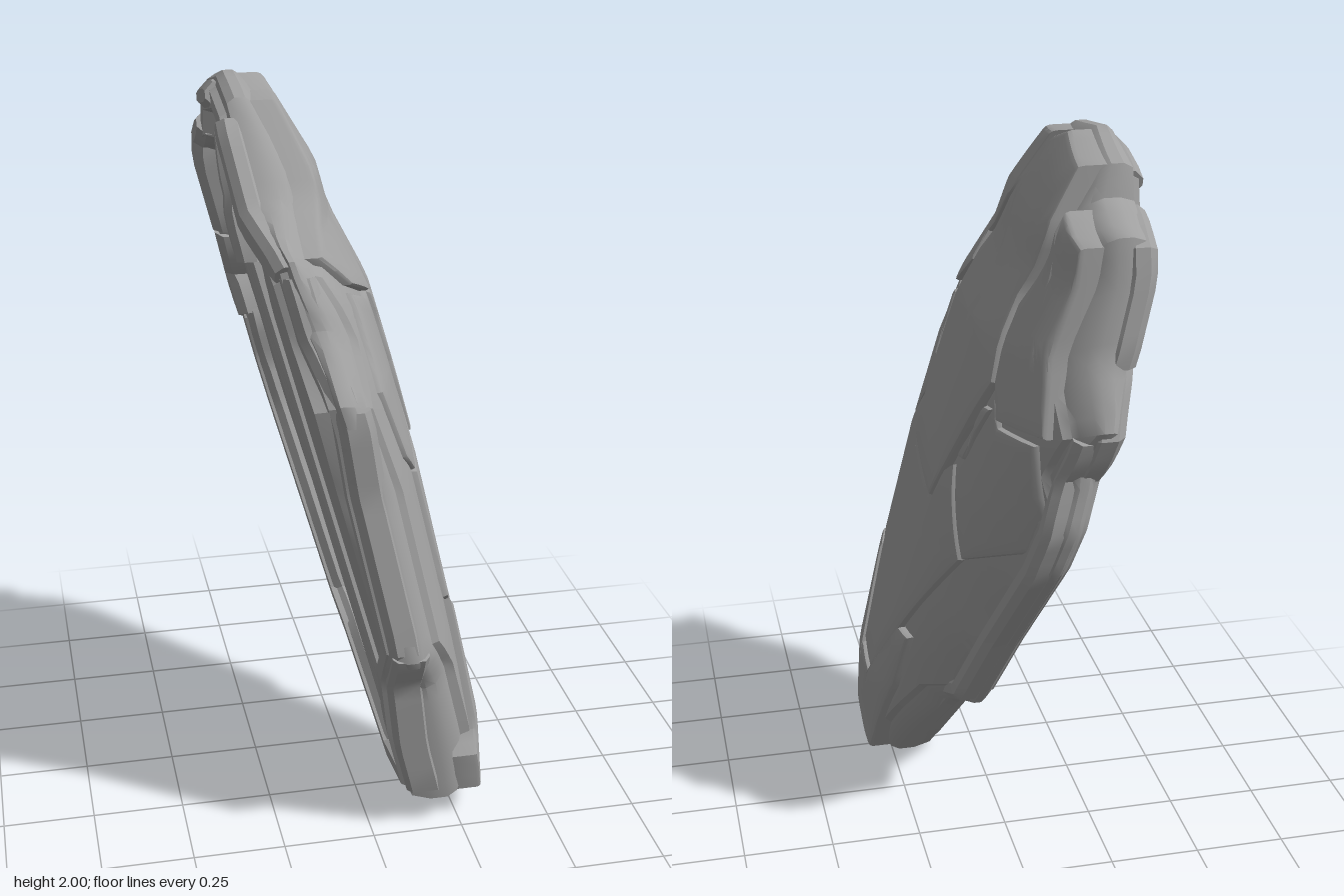
import * as THREE from 'three';
import { toCreasedNormals } from 'three/addons/utils/BufferGeometryUtils.js';

const lerpTable = (t, y) => {
  const i = Math.max(1, t.findIndex(e => e[0] >= y));
  const [a, va] = t[i - 1], [b, vb] = t[i];
  return va + (vb - va) * THREE.MathUtils.clamp((y - a) / (b - a), 0, 1);
};

// Leaning back plane, and thickness of the domed face, which falls away faster on the rear side
const backX = y => Math.max(-0.315, 0.12 - 0.258 * y);
const crown = [[0, 0.19], [0.1, 0.21], [0.3, 0.26], [1.05, 0.3], [1.5, 0.3], [1.8, 0.225], [2.01, 0.1]];
const halfWidth = [[0, 0.32], [0.3, 0.33], [0.6, 0.45], [1.3, 0.57], [1.7, 0.45], [2.01, 0.36]];
const across = (z, y) => z - 0.33 + 0.26 * y;
const faceX = (z, y) => {
  const d = across(z, y), t = Math.min(1, Math.abs(d) / lerpTable(halfWidth, y));
  return backX(y) + lerpTable(crown, y) * (1 - (d > 0 ? 0.48 : 0.68) * t ** 3);
};
// Underside of the rim, raised along the front edge
const rimX = (z, y) => backX(y) + 0.085 * THREE.MathUtils.clamp((across(z, y) - 0.22) / 0.28, 0, 1);

// Rim outline as [z, y] points, and the centre it shrinks towards
const outline = [[-0.15, 2], [-0.34, 1.95], [-0.36, 1.87], [-0.47, 1.8], [-0.51, 1.5], [-0.585, 1.34], [-0.525, 1.21],
  [-0.54, 1.05], [-0.5, 0.92], [-0.31, 0.61], [-0.18, 0.37], [-0.05, 0.31], [0.2, 0.002], [0.47, 0.08], [0.52, 0.47],
  [0.59, 0.59], [0.535, 1.05], [0.545, 1.31], [0.43, 1.47], [0.39, 1.64], [0.22, 1.75], [0.04, 1.97]];
const centre = [0.05, 1];
const toward = (c, p, s) => [c[0] + (p[0] - c[0]) * s, c[1] + (p[1] - c[1]) * s];

// Splits long edges of a path
function subdivide(pts, closed) {
  const out = [], n = pts.length;
  for (let i = 0; i < (closed ? n : n - 1); i++) {
    const a = pts[i], b = pts[(i + 1) % n];
    const k = Math.ceil(Math.hypot(b[0] - a[0], b[1] - a[1]) / 0.05);
    for (let j = 0; j < k; j++) out.push(toward(a, b, j / k));
  }
  return closed ? out : [...out, pts[n - 1]];
}

// Skins a list of closed rings of [x, y, z] points
function skin(rings, capped) {
  const idx = [], m = rings[0].length, e = (rings.length - 1) * m;
  for (let i = 0; i < e; i += m) {
    for (let j = 0; j < m; j++) {
      const a = i + j, b = i + (j + 1) % m;
      idx.push(a, b, b + m, a, b + m, a + m);
    }
  }
  for (let j = 1; capped && j < m - 1; j++) idx.push(0, j + 1, j, e, e + j, e + j + 1);
  const g = new THREE.BufferGeometry();
  g.setAttribute('position', new THREE.Float32BufferAttribute(rings.flat(2), 3));
  g.setIndex(idx);
  return toCreasedNormals(g, 0.5);
}

// Orders an outline counter-clockwise as seen from +x
function orient(pts) {
  const area = pts.reduce((s, p, i) => {
    const q = pts[(i + 1) % pts.length];
    return s + q[0] * p[1] - p[0] * q[1];
  }, 0);
  return area > 0 ? pts : [...pts].reverse();
}

// Armour plate that follows the dome, with a bevelled edge
function plateGeometry(pts, lift, c) {
  const edge = subdivide(orient(pts), true);
  const ring = (s, inset, h) => edge.map(p => {
    const d = Math.hypot(p[0] - c[0], p[1] - c[1]);
    const [z, y] = toward(c, p, s * Math.max(0, 1 - inset / d));
    return [faceX(z, y) + h, y, z];
  });
  const rings = [ring(1, 0.004, -0.05), ring(1, 0.004, lift - 0.012), ring(1, 0.008, lift - 0.003)];
  for (const s of [1, 0.85, 0.7, 0.55, 0.4, 0.2, 0]) rings.push(ring(s, 0.018, lift));
  return skin(rings, false);
}

// Bevelled bar swept along a path, between two heights above the rim underside
function barGeometry(path, w, h0, h1) {
  const pts = subdivide(path, false), b = Math.min(w, h1 - h0) * 0.28, n = pts.length;
  return skin(pts.map((p, i) => {
    const a = pts[Math.max(0, i - 1)], q = pts[Math.min(n - 1, i + 1)];
    const l = Math.hypot(q[0] - a[0], q[1] - a[1]), dz = (q[0] - a[0]) / l, dy = (q[1] - a[1]) / l;
    const v = w / 2 * (i === 0 || i === n - 1 ? 0.8 : 1);
    const side = [[b - v, h0], [-v, h0 + b], [-v, h1 - b], [b - v, h1]];
    const section = [...side, ...side.map(([s, h]) => [-s, h]).reverse()];
    return section.map(([s, h]) => [rimX(...p) + h, p[1] + dz * s, p[0] - dy * s]);
  }), true);
}

// Shell with a recessed back, stepped rim and domed face
function shellGeometry() {
  const edge = subdivide(orient(outline), true);
  const ring = (s, f) => edge.map(p => {
    const [z, y] = toward(centre, p, s);
    return [f(z, y), y, z];
  });
  const floor = (z, y) => backX(y) + 0.05;
  const under = h => (z, y) => rimX(z, y) + h;
  const between = k => (z, y) => THREE.MathUtils.lerp(rimX(z, y), faceX(z, y), k);
  const rings = [ring(0, floor), ring(0.45, floor), ring(0.89, floor), ring(0.905, under(0.003)), ring(0.95, under(0)),
    ring(0.96, under(0.018)), ring(0.985, under(0.02)), ring(1, between(0.35)), ring(1, between(0.6)),
    ring(0.985, between(0.75)), ring(0.945, between(0.86)), ring(0.925, between(0.88))];
  for (const s of [0.915, 0.82, 0.7, 0.55, 0.4, 0.25, 0.12, 0]) rings.push(ring(s, faceX));
  return skin(rings, false);
}

export function createModel() {
  const group = new THREE.Group();
  const grey = new THREE.MeshStandardMaterial({ color: 0xa0a0a0 });
  grey.name = 'armour grey';
  const add = (name, geometry) => {
    const mesh = new THREE.Mesh(geometry, grey);
    mesh.name = name;
    group.add(mesh);
  };
  const plate = (name, lift, c, pts) => add(name, plateGeometry(pts, lift, c));
  const bar = (name, path, w, low, high) => add(name, barGeometry(path, w, low, high));
  add('shell', shellGeometry());

  // Corners and seam shared by neighbouring plates
  const front = [0.37, 1.04], notch = [0.18, 1.22], tipFront = [0.175, 1.065];
  const tipRear = [-0.09, 0.985], rear = [-0.19, 1.12], rearLow = [-0.25, 0.86], rearTop = [-0.32, 1.39];
  const chinSeam = [[0.4, 0.67], [0.36, 0.64], [0.32, 0.33], [0.19, 0.3], [0, 0.54]];

  // Overlapping face plates
  plate('mainPlate', 0.028, [-0.07, 1.5], [[-0.15, 1.995], [-0.335, 1.95], [-0.34, 1.78], [-0.3, 1.62], rearTop,
    tipRear, tipFront, notch, [0.13, 1.62], [0, 1.8], [-0.06, 1.96]]);
  plate('upperFrontPlate', 0.03, [0.16, 1.69], [[0.04, 1.965], [-0.05, 1.97], [0.01, 1.8], [0.135, 1.65], [0.14, 1.57],
    [0.22, 1.49], [0.31, 1.54], [0.35, 1.63], [0.2, 1.75]]);
  plate('upperRearPlate', 0.024, [-0.41, 1.55], [[-0.37, 1.85], [-0.46, 1.78], [-0.475, 1.5], [-0.51, 1.3], [-0.36, 1.3],
    rearTop, [-0.305, 1.6], [-0.36, 1.75]]);
  plate('lowerPlate', 0.016, [0.15, 0.85], [front, notch, tipFront, tipRear, rear, rearLow, ...[...chinSeam].reverse()]);
  plate('midFrontPlate', 0.014, [0.3, 1.3], [front, notch, [0.15, 1.52], [0.22, 1.48], [0.32, 1.53], [0.45, 1.3], [0.42, 1.1]]);
  plate('midRearPlate', 0.014, [-0.34, 1.12], [rear, rearTop, [-0.36, 1.29], [-0.48, 1.28], [-0.48, 1.08], [-0.43, 0.95], rearLow]);
  plate('chinPlate', 0.022, [0.3, 0.15], [...chinSeam, [-0.05, 0.53], [0.03, 0.33], [0.2, 0.018], [0.46, 0.09],
    [0.49, 0.22], [0.45, 0.28], [0.43, 0.45]]);

  // Narrow raised slots
  const slot = (name, z, y, lean, half) => plate(name, 0.026, [z, y], [[-1, 1], [1, 1], [1, -1], [-1, -1]]
    .map(([a, b]) => [z + a * 0.014 + b * lean, y + b * half]));
  slot('frontSlot', 0.187, 1.385, -0.01, 0.1);
  slot('rearSlot', -0.275, 1.24, -0.045, 0.09);

  // Rim strips and crest blocks follow part of the outline
  const rimBar = (name, from, to, scale, ...size) =>
    bar(name, outline.slice(from, to + 1).map(p => toward(centre, p, scale)), ...size);
  rimBar('frontRimStrip', 14, 17, 0.93, 0.07, 0.01, 0.105);
  rimBar('frontLowerBlock', 13, 15, 0.965, 0.05, 0.01, 0.11);
  rimBar('rearRimStrip', 5, 12, 0.93, 0.07, 0.01, 0.12);
  rimBar('rearSideBlock', 4, 6, 0.93, 0.08, -0.01, 0.08);
  rimBar('rearCrest', 2, 4, 0.94, 0.09, -0.012, 0.075);
  rimBar('topCrest', 0, 1, 0.94, 0.08, -0.012, 0.07);
  rimBar('frontCrest', 19, 21, 0.93, 0.09, -0.012, 0.06);
  rimBar('frontShoulder', 17, 19, 0.92, 0.07, 0, 0.09);
  bar('hangingCrest', [[0.15, 1.57], [0.12, 1.74], [0.02, 1.88]], 0.06, -0.012, 0.055);

  // Long rails across the recessed back
  for (let i = -2; i <= 2; i++) {
    const shift = i * 0.045;
    bar('backRail', [[0.27 + shift, 0.16], [-0.12 + shift, 1.82]], i % 2 ? 0.018 : 0.03, 0.03, i % 2 ? 0.06 : 0.068);
  }
  return group;
}
